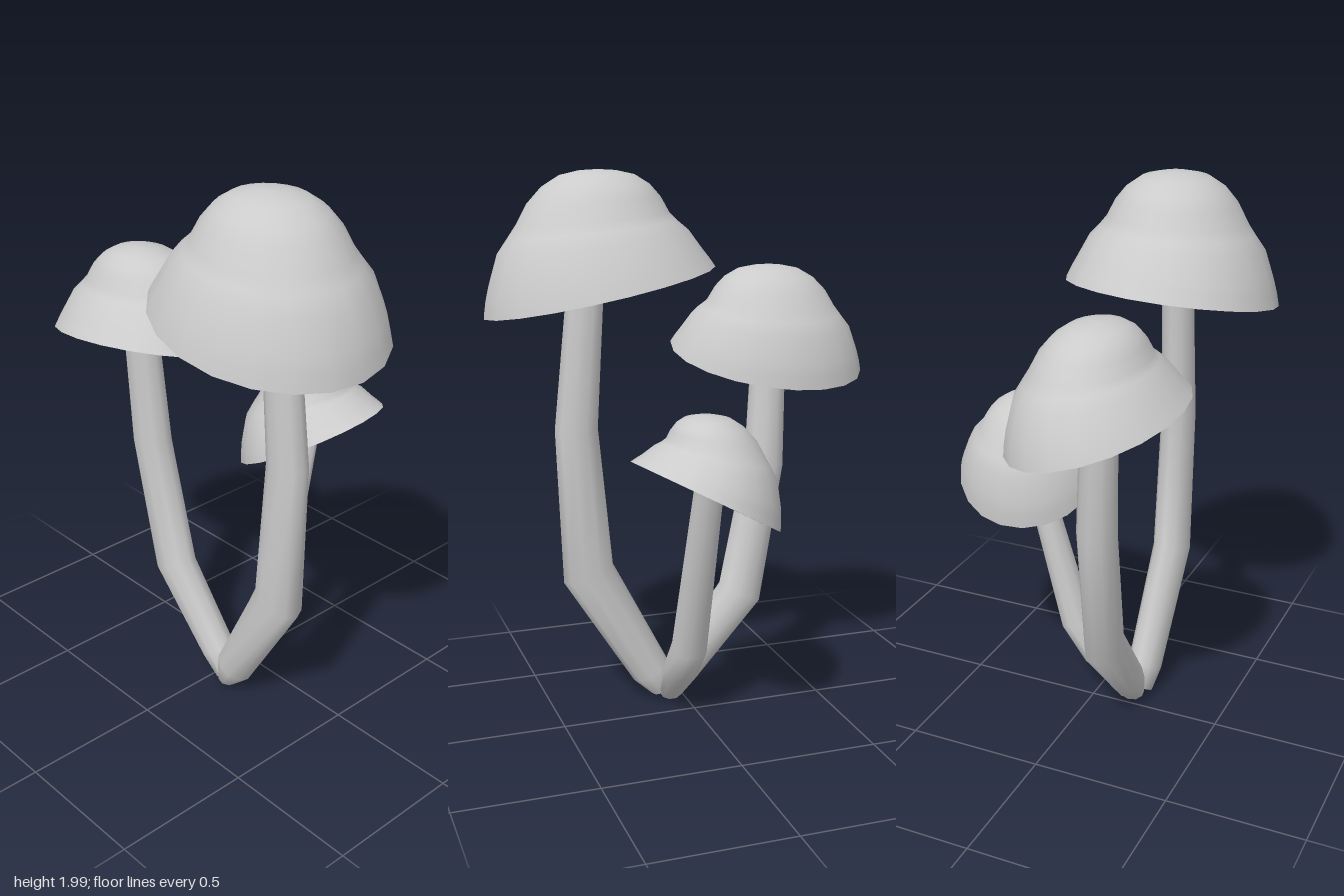
import * as THREE from 'three';

const V = (x, y, z) => new THREE.Vector3(x, y, z);
const SEGMENTS = 20;

// cap outline from rim to crown: [radius, height], both 0..1
const CAP = [[1, 0], [0.965, 0.1], [0.92, 0.2], [0.82, 0.41], [0.72, 0.52], [0.655, 0.6],
  [0.57, 0.75], [0.46, 0.87], [0.32, 0.955], [0.16, 0.99], [0, 1]];
// underside outline from centre to rim
const GILLS = [[0, 0.1], [0.22, 0.06], [1, 0]];

function lathe(profile) {
  return new THREE.LatheGeometry(profile.map(([r, h]) => new THREE.Vector2(r, h)), SEGMENTS);
}

// scales a unit cap and slants its rim, leaving the crown upright
function shapeCap(geo, { rx, rz, height, slopeX, slopeZ }) {
  const p = geo.attributes.position;
  for (let i = 0; i < p.count; i++) {
    const h = p.getY(i), x = p.getX(i) * rx, z = p.getZ(i) * rz;
    const lean = 0.25 * height * Math.sin(Math.PI * h);
    p.setXYZ(i, x - slopeX * lean, h * height + (1 - h) * (slopeX * x + slopeZ * z), z - slopeZ * lean);
  }
  // average the normals across the lathe seam
  geo.computeVertexNormals();
  const n = geo.attributes.normal, rows = p.count / (SEGMENTS + 1), last = SEGMENTS * rows;
  for (let j = 0; j < rows; j++) {
    const a = V().fromBufferAttribute(n, j).add(V().fromBufferAttribute(n, last + j)).normalize();
    n.setXYZ(j, a.x, a.y, a.z);
    n.setXYZ(last + j, a.x, a.y, a.z);
  }
  return geo;
}

function makeCap(spec) {
  const group = new THREE.Group();
  group.name = 'cap';
  const dome = new THREE.Mesh(shapeCap(lathe(CAP), spec),
    new THREE.MeshStandardMaterial({ color: 0xcccccc }));
  dome.name = 'capDome';

  // shallow folded gills: every other spoke sits a little higher
  const under = lathe(GILLS), p = under.attributes.position;
  for (let i = 0; i <= SEGMENTS; i += 2) p.setY(i * 3 + 1, 0.1);
  const gills = new THREE.Mesh(shapeCap(under, spec),
    new THREE.MeshStandardMaterial({ color: 0xcccccc, flatShading: true, side: THREE.DoubleSide }));
  gills.name = 'capGills';

  group.add(dome, gills);
  group.position.set(...spec.center);
  return group;
}

// bent stalk: rings [x, y, z, halfWidthX, halfWidthZ] set square to the path
function makeStem(rings) {
  const sides = 10, pos = [], index = [];
  const pts = rings.map(([x, y, z]) => V(x, y, z));
  const dir = i => pts[i + 1].clone().sub(pts[i]).normalize();
  rings.forEach(([, , , rx, rz], i) => {
    const t = V(0, 0, 0);
    if (i > 0) t.add(dir(i - 1));
    if (i < pts.length - 1) t.add(dir(i));
    const q = new THREE.Quaternion().setFromUnitVectors(V(0, 1, 0), t.normalize());
    for (let s = 0; s < sides; s++) {
      const a = s / sides * Math.PI * 2;
      pos.push(...V(Math.sin(a) * rx, 0, Math.cos(a) * rz).applyQuaternion(q).add(pts[i]).toArray());
    }
  });
  for (let i = 0; i < rings.length - 1; i++) {
    for (let s = 0; s < sides; s++) {
      const a = i * sides + s, b = i * sides + (s + 1) % sides;
      index.push(a, b, b + sides, a, b + sides, a + sides);
    }
  }
  // close the foot
  for (let s = 1; s < sides - 1; s++) index.push(0, s + 1, s);
  const geo = new THREE.BufferGeometry();
  geo.setAttribute('position', new THREE.Float32BufferAttribute(pos, 3));
  geo.setIndex(index);
  geo.computeVertexNormals();
  const stem = new THREE.Mesh(geo, new THREE.MeshStandardMaterial({ color: 0xcccccc }));
  stem.name = 'stem';
  return stem;
}

const MUSHROOMS = [
  {
    name: 'tallMushroom',
    cap: { center: [-0.175, 1.575, 0.295], rx: 0.375, rz: 0.415, height: 0.425, slopeX: 0.06, slopeZ: -0.2 },
    stem: [[-0.16, 0.04, 0.08, 0.05, 0.04], [-0.165, 0.12, 0.12, 0.063, 0.075],
      [-0.175, 0.53, 0.355, 0.068, 0.098], [-0.175, 1.08, 0.39, 0.062, 0.08], [-0.175, 1.68, 0.34, 0.055, 0.066]],
  },
  {
    name: 'backMushroom',
    cap: { center: [-0.175, 1.31, -0.345], rx: 0.295, rz: 0.365, height: 0.34, slopeX: -0.27, slopeZ: 0.1 },
    stem: [[-0.14, 0.035, 0.05, 0.05, 0.04], [-0.145, 0.12, 0.0, 0.063, 0.07],
      [-0.15, 0.4, -0.235, 0.07, 0.09], [-0.165, 0.9, -0.335, 0.07, 0.077], [-0.185, 1.4, -0.36, 0.062, 0.065]],
  },
  {
    name: 'smallMushroom',
    cap: { center: [0.28, 0.915, 0.055], rx: 0.27, rz: 0.255, height: 0.285, slopeX: 0.1, slopeZ: 0.55 },
    stem: [[-0.13, 0.035, 0.05, 0.035, 0.045], [0.005, 0.18, 0.052, 0.062, 0.068],
      [0.095, 0.3, 0.052, 0.062, 0.068], [0.285, 1.0, 0.038, 0.04, 0.054]],
  },
];

export function createModel() {
  const model = new THREE.Group();
  model.name = 'mushroomCluster';
  for (const { name, cap, stem } of MUSHROOMS) {
    const mushroom = new THREE.Group();
    mushroom.name = name;
    mushroom.add(makeStem(stem), makeCap(cap));
    model.add(mushroom);
  }
  return model;
}
